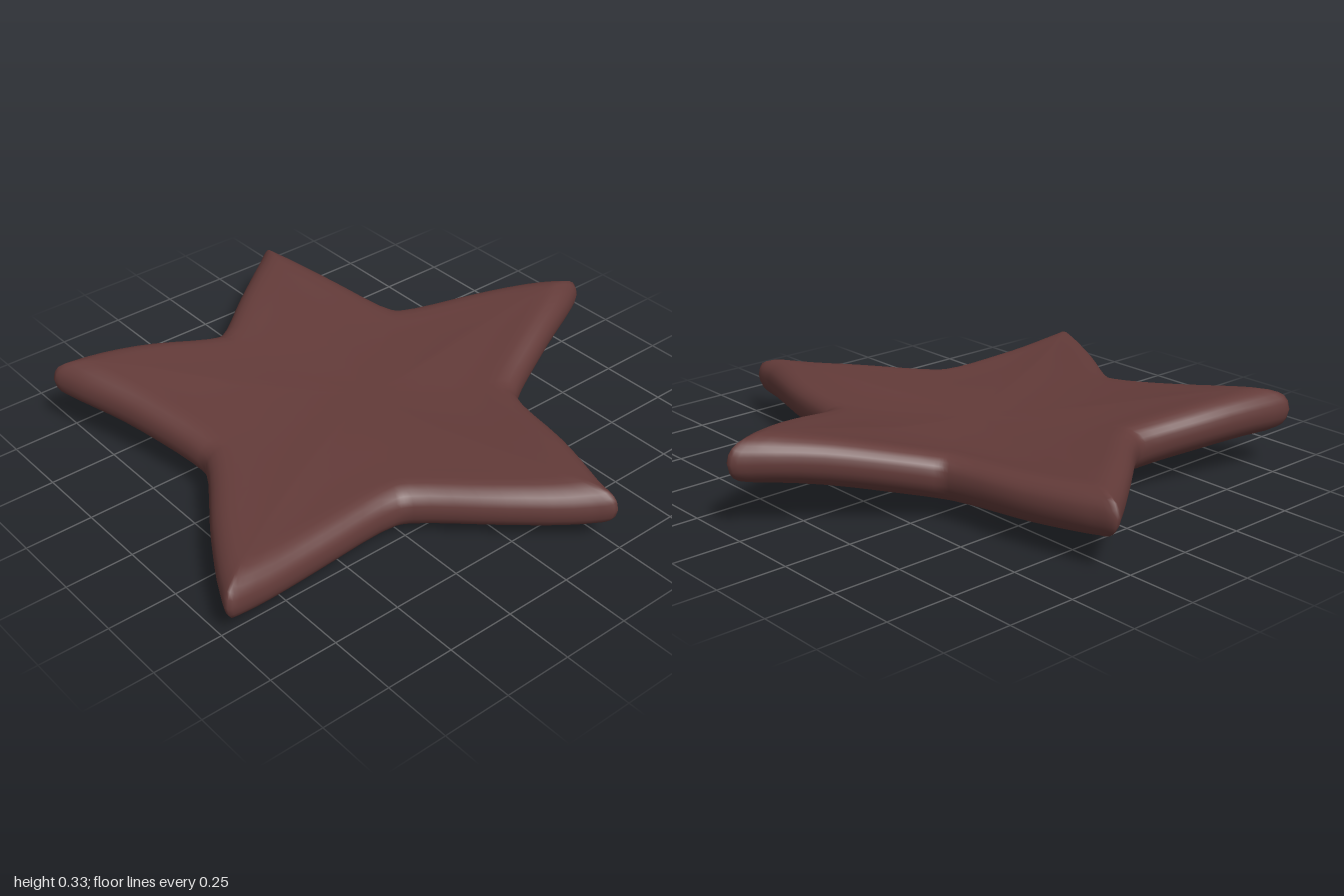
import * as THREE from 'three';

// Arm tips: position and how far the tip curls upward
const ARMS = [
  { x: 0.05, z: -1.0, lift: 0.14 },
  { x: 0.98, z: -0.24, lift: 0.035 },
  { x: 0.54, z: 0.99, lift: 0.005 },
  { x: -0.75, z: 0.81, lift: 0.1 },
  { x: -0.99, z: -0.31, lift: 0.05 },
];

// Outline seen from above, clockwise from the back tip
const OUTLINE = [
  [0.05, -1.0], [0.1, -0.93], [0.21, -0.68], [0.32, -0.44], [0.36, -0.4],
  [0.66, -0.335], [0.88, -0.27], [0.985, -0.24], [0.94, -0.17], [0.76, 0.03], [0.54, 0.25], [0.515, 0.3],
  [0.527, 0.63], [0.545, 0.91], [0.535, 0.995], [0.46, 0.97], [0.23, 0.84], [-0.05, 0.66], [-0.11, 0.65],
  [-0.42, 0.715], [-0.67, 0.8], [-0.755, 0.815], [-0.755, 0.74], [-0.7, 0.49], [-0.615, 0.23], [-0.62, 0.19],
  [-0.79, -0.03], [-0.95, -0.24], [-0.99, -0.305], [-0.91, -0.335], [-0.66, -0.385], [-0.36, -0.43], [-0.32, -0.46],
  [-0.17, -0.69], [-0.01, -0.94],
];

// Height of the middle surface: each arm curls by its own lift
function middleHeight(x, z) {
  let y = 0.1;
  for (const a of ARMS) {
    const t = (x * a.x + z * a.z) / (a.x * a.x + a.z * a.z);
    y += a.lift * THREE.MathUtils.smoothstep(t, 0.1, 0.92);
  }
  return y;
}

// Distance from a point to the nearest outline segment
function edgeDistance(x, z, pts) {
  let best = Infinity;
  pts.forEach((p, i) => {
    const q = pts[(i + 1) % pts.length];
    const dx = q.x - p.x, dz = q.z - p.z;
    const t = THREE.MathUtils.clamp(((x - p.x) * dx + (z - p.z) * dz) / (dx * dx + dz * dz), 0, 1);
    best = Math.min(best, Math.hypot(x - p.x - t * dx, z - p.z - t * dz));
  });
  return best;
}

// Rounded pillow profile, a little thicker towards the centre
function halfThickness(d) {
  const k = 1 - Math.min(d / 0.09, 1);
  return 0.085 * Math.sqrt(1 - k * k) + 0.015 * THREE.MathUtils.smoothstep(d, 0.08, 0.4);
}

function starGeometry() {
  const curve = new THREE.CatmullRomCurve3(
    OUTLINE.map(([x, z]) => new THREE.Vector3(x, 0, z)), true, 'centripetal');
  const n = OUTLINE.length * 4;
  const pts = Array.from({ length: n }, (_, i) => curve.getPoint(i / n));

  // Rings from the top centre out to the edge and back under
  const scales = [0.15, 0.35, 0.55, 0.68, 0.77, 0.84, 0.89, 0.93, 0.96, 0.98, 0.993];
  const rings = [
    ...scales.map((s) => [s, 1]), [1, 0], ...scales.slice().reverse().map((s) => [s, -1]),
  ];
  const pos = [], index = [];
  for (const [s, side] of rings) {
    for (const p of pts) {
      const x = p.x * s, z = p.z * s;
      const h = side === 0 ? 0 : halfThickness(edgeDistance(x, z, pts));
      pos.push(x, middleHeight(x, z) + side * h, z);
    }
  }
  for (let j = 0; j < rings.length - 1; j++) {
    for (let i = 0; i < n; i++) {
      const a = j * n + i, b = j * n + (i + 1) % n;
      index.push(a, b, a + n, b, b + n, a + n);
    }
  }

  // Close the centre on both faces
  const top = pos.length / 3, last = (rings.length - 1) * n;
  pos.push(0, 0.2, 0, 0, 0, 0);
  for (let i = 0; i < n; i++) {
    const k = (i + 1) % n;
    index.push(top, k, i, top + 1, last + i, last + k);
  }

  const geometry = new THREE.BufferGeometry();
  geometry.setAttribute('position', new THREE.Float32BufferAttribute(pos, 3));
  geometry.setIndex(index);
  geometry.computeVertexNormals();
  return geometry;
}

export function createModel() {
  const group = new THREE.Group();
  group.name = 'starfish';
  const darkReddishBrown = new THREE.MeshStandardMaterial({ color: 0x633b39 });
  darkReddishBrown.name = 'darkReddishBrown';
  const body = new THREE.Mesh(starGeometry(), darkReddishBrown);
  body.name = 'starBody';
  group.add(body);
  return group;
}
